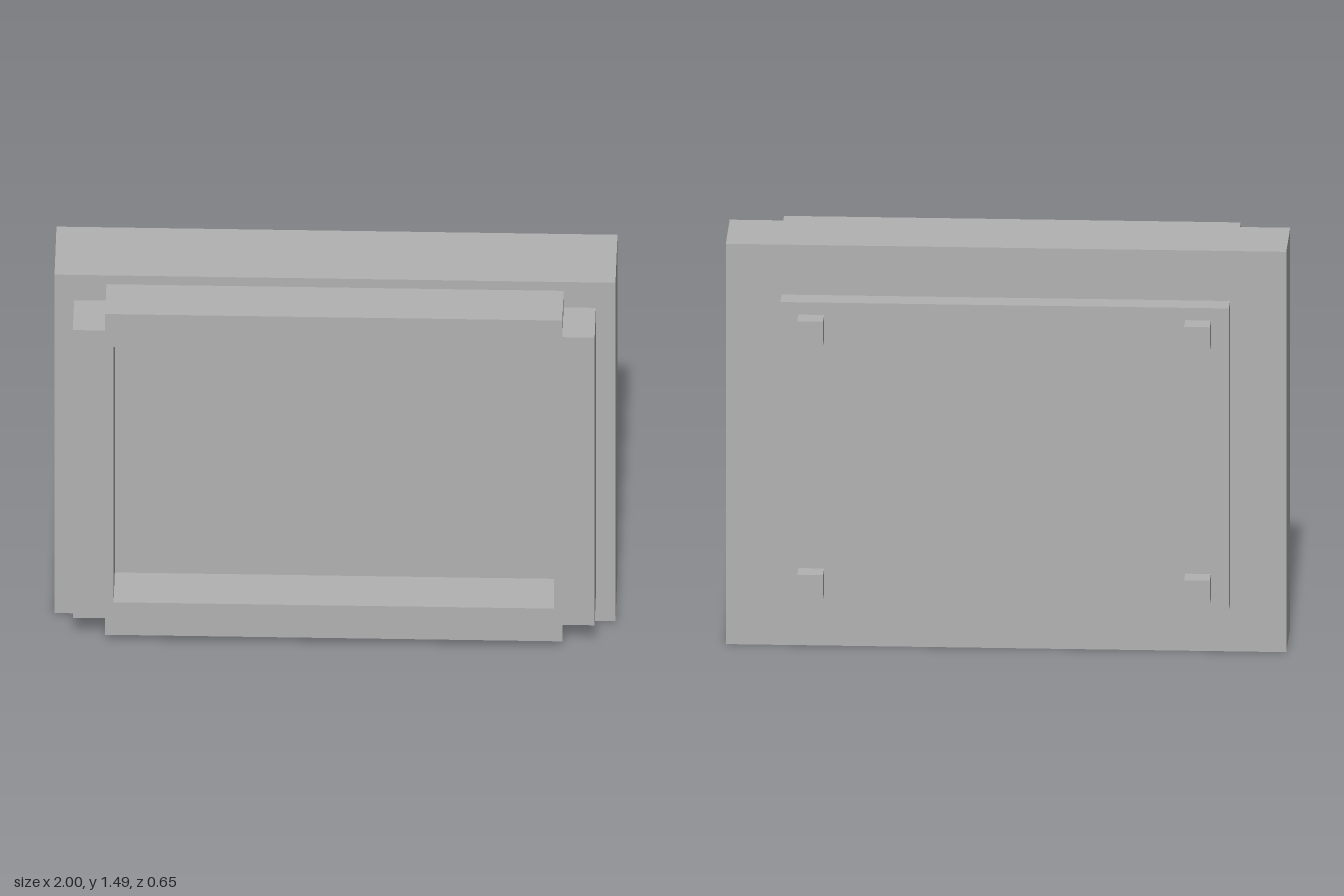
import * as THREE from 'three';

export function createModel() {
  const model = new THREE.Group();
  const grey = new THREE.MeshStandardMaterial({ color: 0xb2b2b2 });
  grey.name = 'grey';

  const add = (name, geometry, x, y, z) => {
    const mesh = new THREE.Mesh(geometry, grey);
    mesh.name = name;
    mesh.position.set(x, y, z);
    model.add(mesh);
  };
  const midY = 0.747;

  // Main slab
  add('body', new THREE.BoxGeometry(2, 1.494, 0.29), 0, midY, 0);

  // Front frame: notched corners around a rectangular opening
  const w = 0.93, h = 0.708, nw = 0.815, nh = 0.635;
  const outline = new THREE.Shape([
    [-nw, -h], [nw, -h], [nw, -nh], [w, -nh], [w, nh], [nw, nh],
    [nw, h], [-nw, h], [-nw, nh], [-w, nh], [-w, -nh], [-nw, -nh],
  ].map(([x, y]) => new THREE.Vector2(x, y)));
  const ow = 0.785, oh = 0.564;
  outline.holes.push(new THREE.Path(
    [[-ow, -oh], [-ow, oh], [ow, oh], [ow, -oh]].map(([x, y]) => new THREE.Vector2(x, y))
  ));
  add('frontFrame', new THREE.ExtrudeGeometry(outline, { depth: 0.18, bevelEnabled: false }), 0, midY, 0.145);

  // Back plate, held slightly off the body by four pegs
  add('backPlate', new THREE.BoxGeometry(1.6, 1.128, 0.09), 0, midY, -0.201);
  for (const x of [-1, 1]) {
    for (const y of [-1, 1]) {
      add('peg', new THREE.BoxGeometry(0.092, 0.09, 0.19), x * 0.69, midY + y * 0.473, -0.232);
    }
  }
  return model;
}
